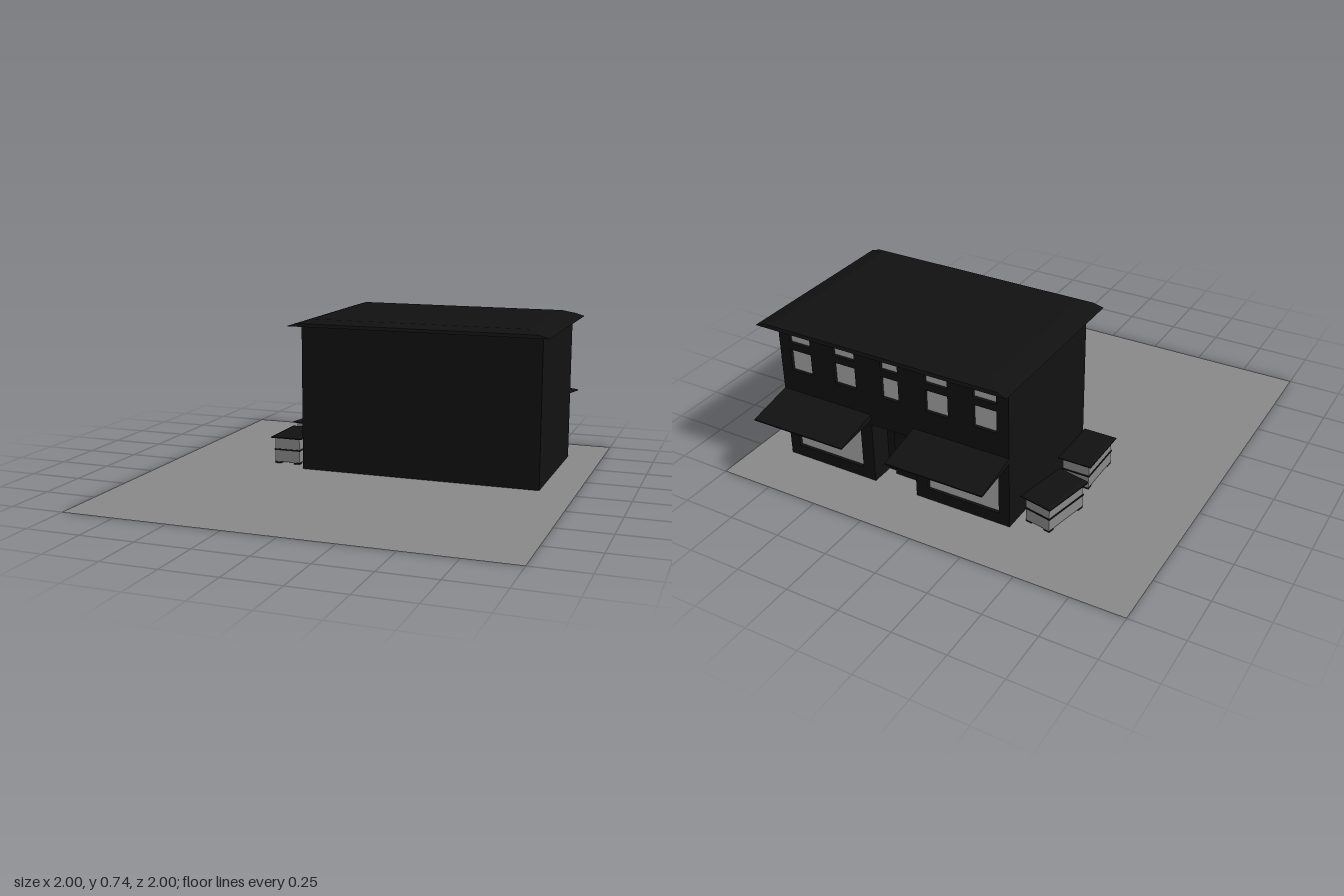
import * as THREE from 'three';

const mat = (color, side = THREE.FrontSide) =>
  new THREE.MeshStandardMaterial({ color, flatShading: true, side });
const dark = mat(0x111111);
const grey = mat(0x888888);
const glass = mat(0xaaaaaa);

function add(parent, name, geometry, material, x = 0, y = 0, z = 0) {
  const mesh = new THREE.Mesh(geometry, material);
  mesh.name = name;
  mesh.position.set(x, y, z);
  parent.add(mesh);
  return mesh;
}

// Box given by its min and max on each axis
function block(parent, name, material, x0, x1, y0, y1, z0, z1) {
  return add(parent, name, new THREE.BoxGeometry(x1 - x0, y1 - y0, z1 - z0), material,
    (x0 + x1) / 2, (y0 + y1) / 2, (z0 + z1) / 2);
}

// Closed solid from stacked rectangles [halfWidth, y, halfDepth]
function stackedRects(rings) {
  const pos = [];
  const index = [];
  for (const [w, y, d] of rings) pos.push(-w, y, d, w, y, d, w, y, -d, -w, y, -d);
  for (let r = 0; r < rings.length - 1; r++) {
    for (let i = 0; i < 4; i++) {
      const a = r * 4 + i;
      const b = r * 4 + (i + 1) % 4;
      index.push(a, b, b + 4, a, b + 4, a + 4);
    }
  }
  const t = (rings.length - 1) * 4;
  index.push(0, 2, 1, 0, 3, 2, t, t + 1, t + 2, t, t + 2, t + 3);
  const g = new THREE.BufferGeometry();
  g.setAttribute('position', new THREE.Float32BufferAttribute(pos, 3));
  g.setIndex(index);
  const flat = g.toNonIndexed();
  flat.computeVertexNormals();
  return flat;
}

function rectHole(x0, x1, y0, y1) {
  return new THREE.Path([[x0, y0], [x0, y1], [x1, y1], [x1, y0]]
    .map(([x, y]) => new THREE.Vector2(x, y)));
}

// Shop block: solid core plus a pierced wall with windows and door recess
function building() {
  const g = new THREE.Group();
  g.name = 'building';
  const left = -0.33, right = 0.83, mid = 0.25, top = 0.71, face = -0.73, depth = 0.11;
  block(g, 'mainWalls', dark, left, right, 0, top, face + depth, -0.035);

  const wall = new THREE.Shape([
    [left, 0], [0.14, 0], [0.14, 0.3], [0.36, 0.3], [0.36, 0], [right, 0], [right, top], [left, top],
  ].map(([x, y]) => new THREE.Vector2(x, y)));

  // Openings: two shop windows and five two-pane upper windows
  const openings = [];
  for (const s of [-1, 1]) {
    openings.push(['shopWindow', mid + s * 0.35 - 0.178, mid + s * 0.35 + 0.178, 0.055, 0.3]);
  }
  for (let i = -2; i <= 2; i++) {
    const x = mid + i * 0.234;
    const w = i === 0 ? 0.043 : 0.055;
    openings.push(['lowerPane', x - w, x + w, 0.46, 0.565]);
    openings.push(['upperPane', x - w, x + w, 0.6, 0.66]);
  }
  for (const [name, x0, x1, y0, y1] of openings) {
    wall.holes.push(rectHole(x0, x1, y0, y1));
    block(g, name, glass, x0, x1, y0, y1, face + 0.015, face + 0.03);
  }
  add(g, 'shopWall', new THREE.ExtrudeGeometry(wall, { depth, bevelEnabled: false }), dark, 0, 0, face);
  block(g, 'door', dark, 0.19, 0.31, 0, 0.27, face + 0.09, face + depth);

  // Low hipped roof
  add(g, 'roof', stackedRects([
    [0.623, 0.705, 0.435], [0.575, 0.72, 0.43], [0.52, 0.737, 0.375],
  ]), dark, mid, 0, -0.387);

  // Sloping tapered awnings
  const profile = new THREE.Shape([[0, 0.325], [0.22, 0.3], [0.22, 0.306], [0, 0.352]]
    .map(([x, y]) => new THREE.Vector2(x, y)));
  for (const x of [-0.33, 0.36]) {
    const awning = new THREE.ExtrudeGeometry(profile, { depth: 0.47, bevelEnabled: false });
    awning.rotateY(Math.PI / 2);
    add(g, 'awning', awning, dark, x, 0, face);
  }
  return g;
}

// Waste bin: grey tub, dark band, overhanging lid and small feet
function bin(x, z, angle) {
  const g = new THREE.Group();
  g.name = 'bin';
  block(g, 'tub', grey, -0.064, 0.064, 0.008, 0.13, -0.115, 0.115);
  block(g, 'band', dark, -0.067, 0.067, 0.066, 0.073, -0.118, 0.118);
  add(g, 'lid', stackedRects([
    [0.08, 0.129, 0.132], [0.08, 0.134, 0.132], [0.065, 0.14, 0.117],
  ]), dark);
  for (const sx of [-1, 1]) for (const sz of [-1, 1]) {
    add(g, 'foot', new THREE.BoxGeometry(0.03, 0.01, 0.03), dark, sx * 0.049, 0.005, sz * 0.1);
  }
  g.position.set(x, 0, z);
  g.rotation.y = angle;
  return g;
}

export function createModel() {
  const model = new THREE.Group();
  model.name = 'cornerShop';
  const ground = add(model, 'ground', new THREE.PlaneGeometry(2, 2), mat(0x888888, THREE.DoubleSide));
  ground.rotation.x = -Math.PI / 2;
  model.add(building(), bin(-0.44, -0.213, 0), bin(-0.455, -0.558, -0.2));
  return model;
}
